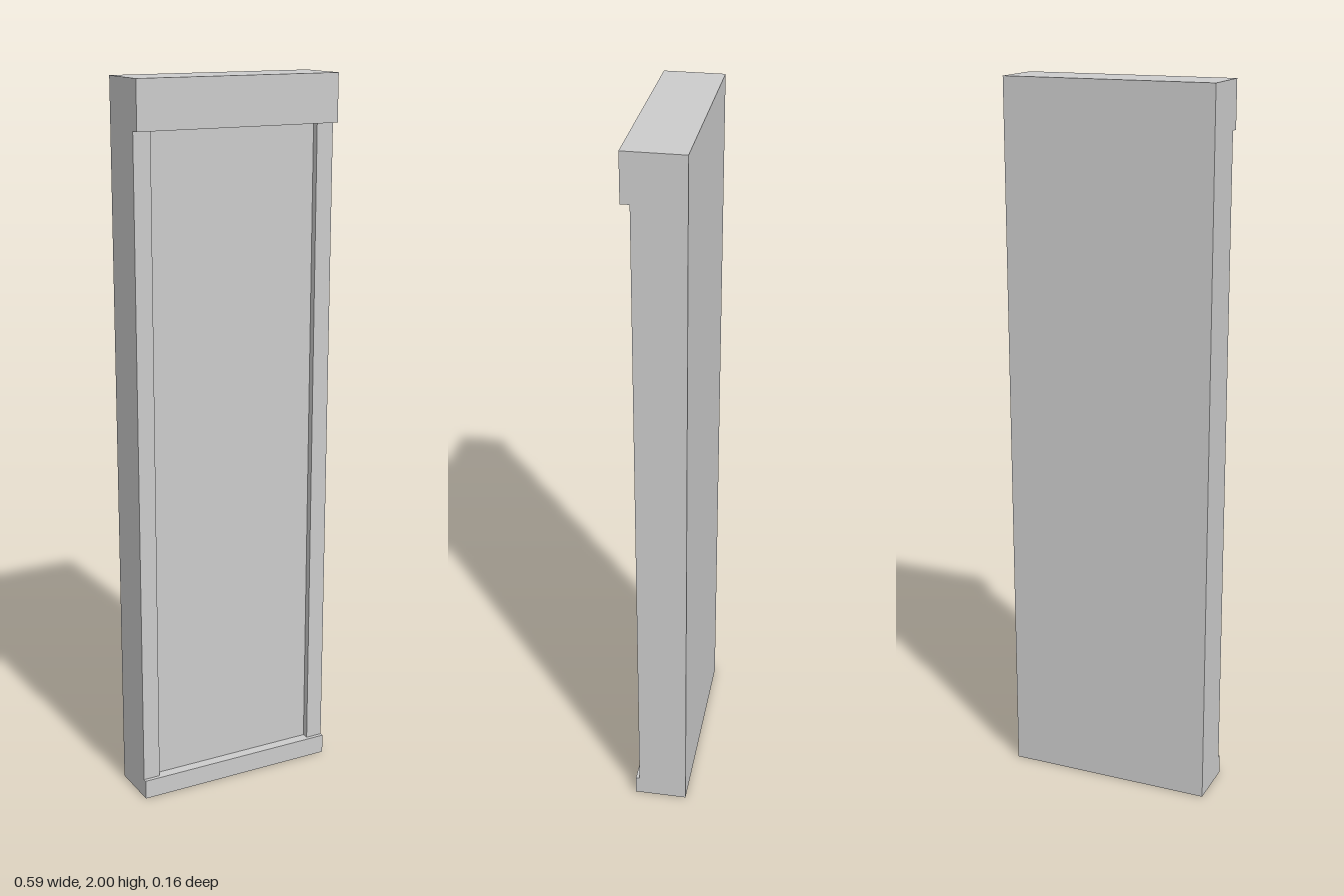
import * as THREE from 'three';

const WIDTH = 0.588;
const BACK = -0.081;
const material = new THREE.MeshStandardMaterial({ color: 0xcccccc, flatShading: true });

// Box spanning y0..y1, from the shared back plane forward to z = front
function slab(name, width, x, y0, y1, front) {
  const mesh = new THREE.Mesh(new THREE.BoxGeometry(width, y1 - y0, front - BACK), material);
  mesh.name = name;
  mesh.position.set(x, (y0 + y1) / 2, (front + BACK) / 2);
  return mesh;
}

export function createModel() {
  const group = new THREE.Group();
  group.name = 'panel';
  const baseTop = 0.055, headerBottom = 1.87, stile = 0.049;

  // Header and base rails project past the frame
  group.add(slab('header', WIDTH, 0, headerBottom, 2, 0.081));
  group.add(slab('base', WIDTH, 0, 0, baseTop, 0.068));

  // Side stiles
  for (const [name, side] of [['leftStile', 1], ['rightStile', -1]]) {
    group.add(slab(name, stile, side * (WIDTH - stile) / 2, baseTop, headerBottom, 0.057));
  }

  // Recessed centre panel
  group.add(slab('recessedPanel', WIDTH - 2 * stile, 0, baseTop, headerBottom, 0.038));
  return group;
}
